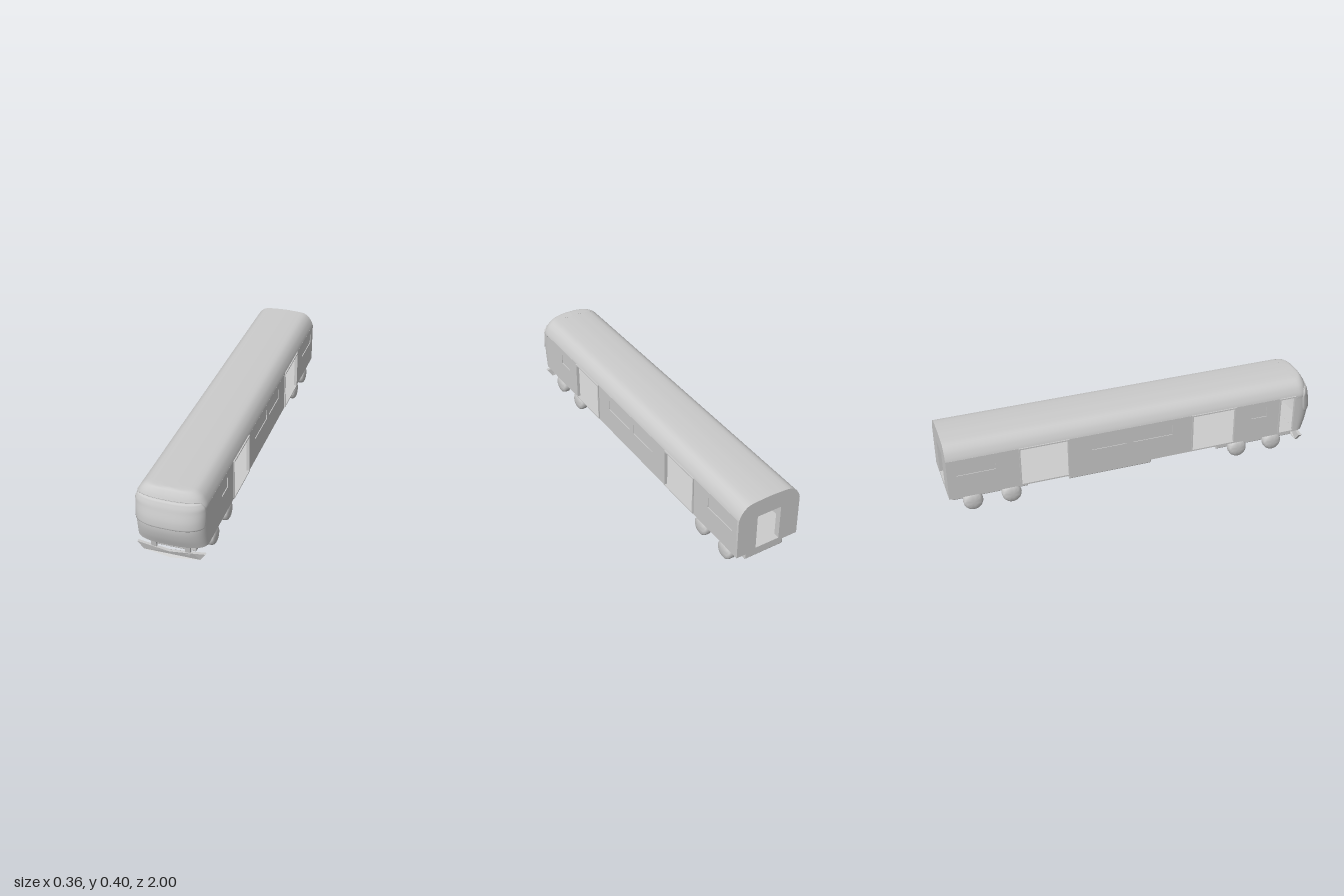
import * as THREE from 'three';
import { toCreasedNormals } from 'three/addons/utils/BufferGeometryUtils.js';
import { ParametricGeometry } from 'three/addons/geometries/ParametricGeometry.js';
import { RoundedBoxGeometry } from 'three/addons/geometries/RoundedBoxGeometry.js';

const W = 0.172;          // half width of the body
const NOSE = 0.885;       // where the rounded cab begins
const mat = new THREE.MeshStandardMaterial({ color: 0xcccccc, side: THREE.DoubleSide });

// Body outline: half width, height, and how far forward the cab reaches there
const outline = new THREE.CatmullRomCurve3([
  [W, 0.1, 0.964], [W, 0.15, 0.984], [W, 0.2, 0.996], [W, 0.25, 0.996], [W, 0.3, 0.985], [W, 0.32, 0.98],
  [0.163, 0.345, 0.97], [0.147, 0.37, 0.96], [0.118, 0.391, 0.947], [0.06, 0.398, 0.936], [0, 0.4, 0.925],
].map((p) => new THREE.Vector3(...p)));

// Point of the outline at a given height
function outlineAt(y) {
  let lo = 0, hi = 1;
  for (let i = 0; i < 24; i++) {
    const mid = (lo + hi) / 2;
    if (outline.getPoint(mid).y < y) lo = mid; else hi = mid;
  }
  return outline.getPoint(lo);
}

// Cab surface: t runs from -1 (right side) round the front to 1 (left side)
function cabPoint(p, t, out, target) {
  const a = (t * Math.PI) / 2, e = 2 / 2.7;
  const s = Math.sin(a), c = Math.max(0, Math.cos(a));
  return target.set(
    (p.x + out) * Math.sign(s) * Math.abs(s) ** e, p.y, NOSE + (p.z + out - NOSE) * c ** e);
}

function rect(path, z0, z1, y0, y1) {
  path.moveTo(z0, y0).lineTo(z1, y0).lineTo(z1, y1).lineTo(z0, y1).closePath();
  return path;
}

function extrude(shape, depth) {
  const g = new THREE.ExtrudeGeometry(shape, { depth, bevelEnabled: false });
  return toCreasedNormals(g, 0.6);
}

export function createModel() {
  const model = new THREE.Group();
  const add = (name, geometry, x = 0, y = 0, z = 0) => {
    const m = new THREE.Mesh(geometry, mat);
    m.name = name;
    m.position.set(x, y, z);
    model.add(m);
    return m;
  };
  const box = (name, hw, y0, y1, z0, z1, r = 0.006) => add(name,
    new RoundedBoxGeometry(2 * hw, y1 - y0, z1 - z0, 2, r), 0, (y0 + y1) / 2, (z0 + z1) / 2);

  // A shape drawn in z and y, standing on one side with its outer face at |x| = outer
  const sidePanel = (name, shape, side, outer, t) => {
    const g = extrude(shape, t);
    g.rotateY(-Math.PI / 2);
    return add(name, g, side > 0 ? outer : -outer + t);
  };

  // Side walls with open doorways, door frames and recessed windows
  const doors = [[0.29, 0.525], [-0.63, -0.385]];
  const windows = [[0.62, 0.71], [-0.037, 0.177], [-0.26, -0.075], [-0.953, -0.755]];
  for (const side of [1, -1]) {
    const openings = side < 0 ? [...doors, [0.79, 0.872]] : doors;
    const wall = rect(new THREE.Shape(), -1, NOSE, 0.1, 0.321);
    for (const [a, b] of openings) {
      wall.holes.push(rect(new THREE.Path(), a, b, 0.112, 0.315));
      const frame = rect(new THREE.Shape(), a - 0.007, b + 0.007, 0.106, 0.322);
      frame.holes.push(rect(new THREE.Path(), a, b, 0.112, 0.315));
      sidePanel('doorFrame', frame, side, 0.178, 0.012);
    }
    for (const [a, b] of windows) {
      wall.holes.push(rect(new THREE.Path(), a, b, 0.23, 0.287));
      sidePanel('windowPane', rect(new THREE.Shape(), a, b, 0.23, 0.287), side, W - 0.004, 0.004);
    }
    sidePanel('sideWall', wall, side, W, 0.01);
  }

  // Arched roof
  const half = [];
  for (let i = 0; i <= 14; i++) half.push(outlineAt(0.32 + 0.08 * Math.sin((i / 14) * Math.PI / 2)));
  half[14].set(0, 0.4, 0);
  const arch = [...half, ...half.slice(0, -1).reverse().map((p) => new THREE.Vector3(-p.x, p.y, 0))];
  const outer = arch.map((p) => new THREE.Vector2(p.x, p.y));
  const inner = outer.map((p) => new THREE.Vector2(p.x * 0.94, Math.max(0.3195, p.y - 0.01))).reverse();
  add('roof', extrude(new THREE.Shape([...outer, ...inner]), NOSE + 0.994), 0, 0, -0.994);

  // Rear wall with gangway doorway
  const end = new THREE.Shape([new THREE.Vector2(-W, 0.1), new THREE.Vector2(W, 0.1), ...outer]);
  end.holes.push(rect(new THREE.Path(), -0.066, 0.066, 0.115, 0.305));
  add('rearWall', extrude(end, 0.012), 0, 0, -1);
  const gangway = rect(new THREE.Shape(), -0.073, 0.073, 0.108, 0.312);
  gangway.holes.push(rect(new THREE.Path(), -0.066, 0.066, 0.115, 0.305));
  add('rearDoorFrame', extrude(gangway, 0.03), 0, 0, -0.999);

  // Floor, continued under the cab
  box('floor', W - 0.001, 0.1, 0.111, -0.995, NOSE, 0.001);
  const plan = [];
  for (let i = 0; i <= 32; i++) {
    const p = cabPoint(outlineAt(0.1), i / 16 - 1, -0.001, new THREE.Vector3());
    plan.push(new THREE.Vector2(p.x, -p.z));
  }
  const cabFloor = extrude(new THREE.Shape(plan), 0.01);
  cabFloor.rotateX(-Math.PI / 2);
  add('cabFloor', cabFloor, 0, 0.1, 0);

  // Rounded cab
  const cab = new ParametricGeometry(
    (u, v, target) => cabPoint(outline.getPoint(v), 2 * u - 1, 0, target), 48, 48);
  cab.computeVertexNormals();
  add('cab', cab);

  // Wraparound windscreen, its rim tucked into the cab
  const screen = new ParametricGeometry((u, v, target) => {
    const y = 0.21 + 0.14 * v;
    const reach = 0.87 - 0.14 * Math.abs(2 * v - 0.9) ** 3;
    const rim = u < 0.01 || u > 0.99 || v < 0.01 || v > 0.99;
    cabPoint(outlineAt(y), reach * (2 * u - 1), rim ? -0.002 : 0.004, target);
  }, 40, 24);
  screen.computeVertexNormals();
  add('windscreen', screen);

  // Brow rail above the windscreen
  const brow = [];
  for (let i = 0; i <= 24; i++) {
    const t = i / 12 - 1;
    brow.push(cabPoint(outlineAt(0.354 - 0.012 * t ** 4), t * 0.74, 0, new THREE.Vector3()));
  }
  add('brow', new THREE.TubeGeometry(new THREE.CatmullRomCurve3(brow), 48, 0.003, 6));

  // Bogies and equipment below the floor
  box('frontBogie', 0.11, 0.037, 0.102, 0.455, 0.9);
  box('rearBogie', 0.11, 0.045, 0.102, -0.98, -0.585);
  box('equipmentCase', 0.12, 0.042, 0.102, -0.37, 0.08);
  box('frontPlate', 0.1, 0.083, 0.102, 0.14, 0.39, 0.003);
  box('rearCase', 0.09, 0.065, 0.102, -0.54, -0.405, 0.004);

  // Wheels with domed outer faces, joined by axles
  const wheelProfile = [[0, -0.022], [0.044, -0.022], [0.05, -0.017], [0.05, 0.004], [0.046, 0.014],
    [0.036, 0.02], [0.018, 0.023], [0, 0.024]].map((p) => new THREE.Vector2(...p));
  const wheel = toCreasedNormals(new THREE.LatheGeometry(wheelProfile, 28), 0.7);
  const axle = new THREE.CylinderGeometry(0.01, 0.01, 0.26, 12);
  for (const z of [0.766, 0.562, -0.68, -0.878]) {
    for (const side of [1, -1]) add('wheel', wheel, side * 0.145, 0.05, z).rotation.z = -side * Math.PI / 2;
    add('axle', axle, 0, 0.052, z).rotation.z = Math.PI / 2;
  }

  // Front guard beam with swept-back ends, on two leaning struts
  const beam = new THREE.ExtrudeGeometry(new THREE.Shape([
    [-0.168, 0.062], [-0.14, 0.02], [0, 0.012], [0.14, 0.02], [0.168, 0.062], [0.11, 0.059], [0, 0.055], [-0.11, 0.059],
  ].map((p) => new THREE.Vector2(...p))), { depth: 0.016, bevelEnabled: false });
  const pos = beam.attributes.position;
  for (let i = 0; i < pos.count; i++) {
    const x = Math.abs(pos.getX(i));
    pos.setZ(i, pos.getZ(i) + 0.935 - 0.12 * x + (pos.getY(i) - 0.04) * 0.25);
  }
  beam.computeVertexNormals();
  add('guardBeam', beam);
  for (const side of [1, -1]) {
    add('guardStrut', new THREE.BoxGeometry(0.026, 0.066, 0.012), side * 0.083, 0.073, 0.938).rotation.x = 0.2;
  }
  return model;
}
